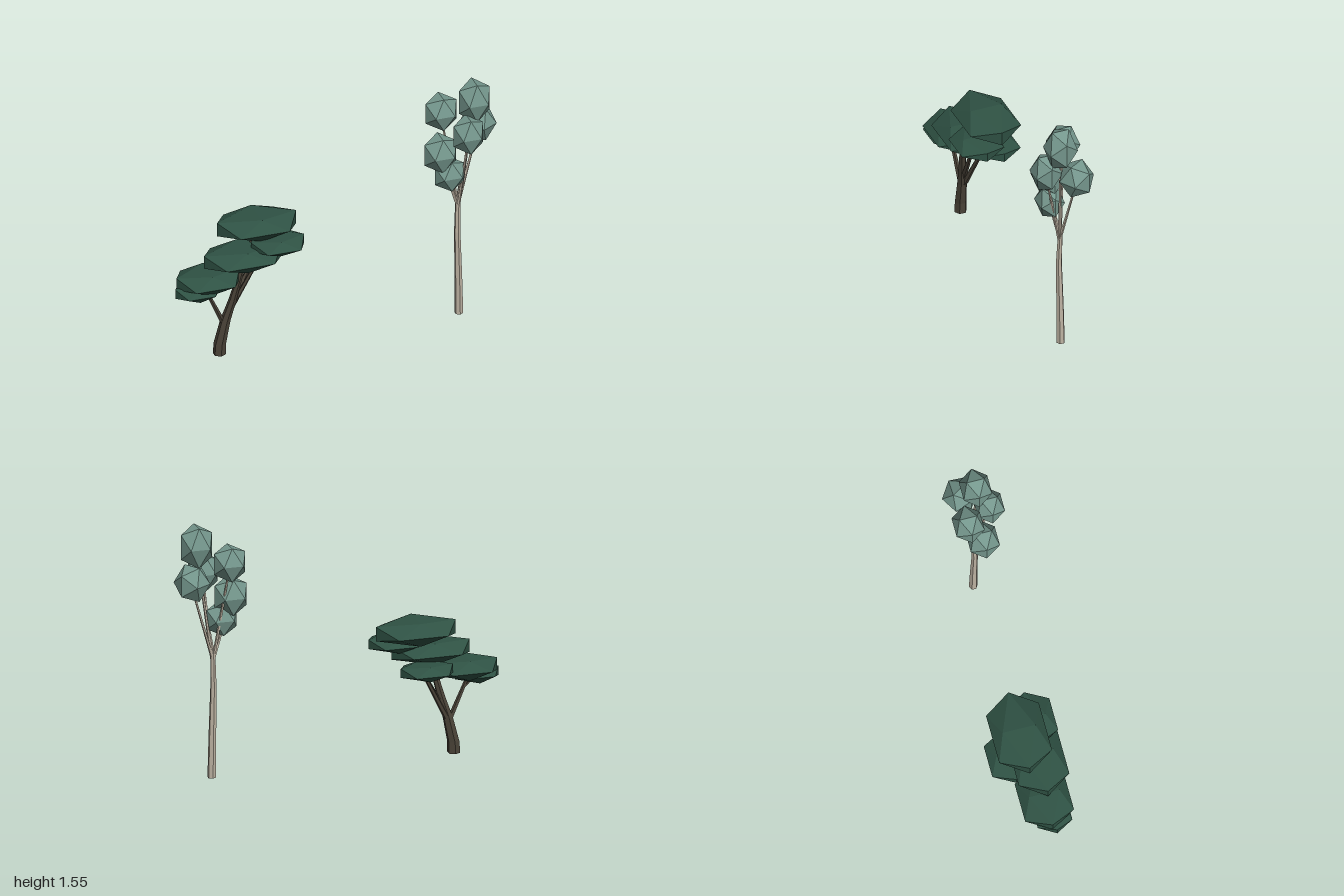
import * as THREE from 'three';

const material = (color) => new THREE.MeshStandardMaterial({ color, flatShading: true });

// Tapered limb: rings of a cylinder moved along points [x, y, z, radius]
function limb(name, points, sides, mat) {
  const n = points.length - 1;
  const geo = new THREE.CylinderGeometry(1, 1, 1, sides, n);
  const pos = geo.attributes.position;
  for (let i = 0; i < pos.count; i++) {
    const [x, y, z, r] = points[Math.round((pos.getY(i) + 0.5) * n)];
    pos.setXYZ(i, x + pos.getX(i) * r, y, z + pos.getZ(i) * r);
  }
  geo.computeVertexNormals();
  const mesh = new THREE.Mesh(geo, mat);
  mesh.name = name;
  return mesh;
}

// Icosahedron fitted to half extents, its top edge running front to back
function clump(name, [x, y, z, hx, hy, hz, yaw = 0], mat) {
  const geo = new THREE.IcosahedronGeometry(1, 0);
  const s = 1 / 0.8507;
  geo.rotateY(Math.PI / 2 + yaw);
  geo.scale(hx * s, hy * s, hz * s);
  geo.computeVertexNormals();
  const mesh = new THREE.Mesh(geo, mat);
  mesh.position.set(x, y, z);
  mesh.name = name;
  return mesh;
}

function spreadingTree() {
  const tree = new THREE.Group();
  tree.name = 'spreadingTree';
  const bark = material(0x4a4338);
  const leaf = material(0x2f5244);

  tree.add(limb('spreadingTrunk', [
    [-0.715, 0, 0.035, 0.039], [-0.712, 0.07, 0.035, 0.037],
    [-0.68, 0.22, 0.04, 0.031], [-0.64, 0.36, 0.055, 0.024], [-0.575, 0.62, 0.08, 0.015],
  ], 6, bark));

  // Branches: start and end
  [
    [[-0.685, 0.19, 0.04, 0.018], [-0.81, 0.46, 0.055, 0.011]],
    [[-0.67, 0.22, 0.03, 0.02], [-0.49, 0.57, -0.02, 0.011]],
    [[-0.665, 0.26, 0.04, 0.018], [-0.43, 0.69, 0.06, 0.009]],
    [[-0.6, 0.5, 0.05, 0.014], [-0.48, 0.77, 0, 0.009]],
    [[-0.77, 0.38, 0.05, 0.01], [-0.86, 0.46, 0.065, 0.008]],
  ].forEach((path) => tree.add(limb('spreadingBranch', path, 5, bark)));

  // Flat foliage pads: centre, half extents
  [
    [-0.465, 0.8, -0.02, 0.245, 0.07, 0.16],
    [-0.37, 0.705, 0.08, 0.165, 0.046, 0.135],
    [-0.58, 0.643, 0.062, 0.24, 0.065, 0.153],
    [-0.51, 0.567, -0.09, 0.16, 0.045, 0.13],
    [-0.79, 0.52, 0.047, 0.195, 0.06, 0.148],
    [-0.867, 0.467, 0.07, 0.133, 0.047, 0.105],
  ].forEach((pad) => tree.add(clump('foliagePad', pad, leaf)));
  return tree;
}

function slenderTree() {
  const tree = new THREE.Group();
  tree.name = 'slenderTree';
  const bark = material(0xbdb2a2);
  const leaf = material(0x75978d);

  tree.add(limb('slenderTrunk', [
    [0.772, 0, 0.03, 0.026], [0.768, 0.25, 0.032, 0.023],
    [0.76, 0.55, 0.036, 0.019], [0.765, 0.75, 0.03, 0.015], [0.785, 0.9, 0.04, 0.01],
  ], 6, bark));

  // Rounded foliage clumps: centre, half extents, turn; each on a thin branch
  [
    [0.855, 1.43, 0.066, 0.095, 0.123, 0.086],
    [0.68, 1.337, -0.025, 0.096, 0.104, 0.085],
    [0.907, 1.232, -0.014, 0.093, 0.104, 0.093, 0.55],
    [0.795, 1.245, 0.132, 0.091, 0.11, 0.082],
    [0.648, 1.107, 0.055, 0.098, 0.11, 0.088],
    [0.7, 0.965, 0.07, 0.091, 0.095, 0.074],
  ].forEach((ball, i) => {
    const [x, y, z] = ball;
    tree.add(clump('foliageClump', ball, leaf));
    tree.add(limb('slenderBranch', [
      [0.765, 0.7 + 0.015 * (i % 3), 0.032, 0.011], [x, y - 0.03, z, 0.006],
    ], 5, bark));
  });
  return tree;
}

export function createModel() {
  const model = new THREE.Group();
  model.name = 'treePair';
  model.add(spreadingTree(), slenderTree());
  return model;
}
